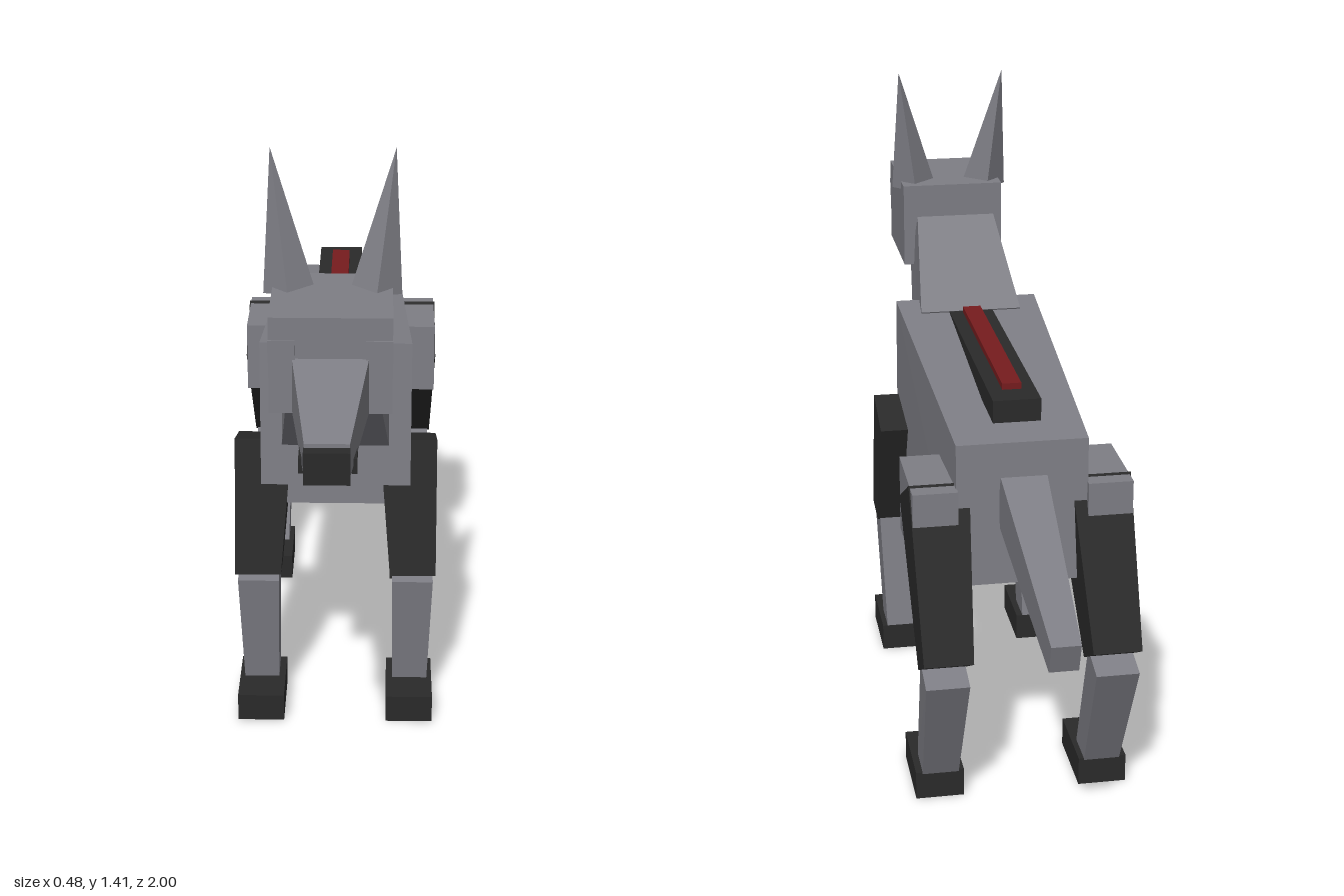
import * as THREE from 'three';

const grey = new THREE.MeshStandardMaterial({ name: 'steelGrey', color: 0x7e7e85 });
const dark = new THREE.MeshStandardMaterial({ name: 'charcoal', color: 0x2a2a2a });
const red = new THREE.MeshStandardMaterial({ name: 'darkRed', color: 0x761c1e });

// Box spanning the given x, y and z ranges
function block(name, mat, [x0, x1], [y0, y1], [z0, z1]) {
  const mesh = new THREE.Mesh(new THREE.BoxGeometry(x1 - x0, y1 - y0, z1 - z0), mat);
  mesh.position.set((x0 + x1) / 2, (y0 + y1) / 2, (z0 + z1) / 2);
  mesh.name = name;
  return mesh;
}

// Tapered box between two ends; an end has two [z, y] points and an x range
function taper(name, mat, endA, endB) {
  const geo = new THREE.BoxGeometry(1, 1, 1).toNonIndexed();
  const p = geo.attributes.position;
  for (let i = 0; i < p.count; i++) {
    const end = p.getY(i) > 0 ? endA : endB;
    const [z, y] = p.getZ(i) > 0 ? end.front : end.back;
    p.setXYZ(i, p.getX(i) > 0 ? end.x[1] : end.x[0], y, z);
  }
  geo.computeVertexNormals();
  const mesh = new THREE.Mesh(geo, mat);
  mesh.name = name;
  return mesh;
}

export function createModel() {
  const model = new THREE.Group();
  model.name = 'robotDog';

  // Trunk, neck and tail
  model.add(
    taper('body', grey,
      { front: [-0.53, 0.83], back: [-0.54, 0.51], x: [-0.142, 0.142] },
      { front: [0.235, 0.905], back: [0.25, 0.52], x: [-0.17, 0.17] }),
    taper('neck', grey,
      { front: [0.53, 0.91], back: [0.39, 1.07], x: [-0.095, 0.095] },
      { front: [0.285, 0.68], back: [0.15, 0.90], x: [-0.12, 0.12] }),
    taper('tail', grey,
      { front: [-0.51, 0.645], back: [-0.55, 0.76], x: [-0.05, 0.05] },
      { front: [-0.98, 0.53], back: [-1.0, 0.594], x: [-0.03, 0.03] }),
    block('spinePlate', dark, [-0.052, 0.052], [0.85, 0.9], [-0.465, 0.148]),
    block('spineStripe', red, [-0.021, 0.021], [0.895, 0.914], [-0.4, 0.138]),
  );

  // Head
  model.add(
    block('head', grey, [-0.123, 0.123], [0.935, 1.137], [0.435, 0.705]),
    taper('snout', grey,
      { front: [0.69, 1.055], back: [0.69, 0.936], x: [-0.078, 0.078] },
      { front: [0.975, 0.988], back: [0.975, 0.92], x: [-0.043, 0.043] }),
    block('nose', dark, [-0.044, 0.044], [0.915, 0.98], [0.965, 1.0]),
    block('jaw', dark, [-0.056, 0.056], [0.905, 0.936], [0.645, 0.925]),
  );

  // Mirrored parts
  for (const s of [1, -1]) {
    const side = s > 0 ? 'left' : 'right';
    const span = (a, b) => (s > 0 ? [a, b] : [-b, -a]);

    model.add(block(side + 'Eye', grey, span(0.07, 0.124), [1.045, 1.09], [0.7, 0.709]));

    // Ear: four-sided cone leaning out and back
    const base = new THREE.Vector3(s * 0.09, 1.125, 0.507);
    const tip = new THREE.Vector3(s * 0.128, 1.415, 0.465);
    const axis = tip.clone().sub(base);
    const earGeo = new THREE.ConeGeometry(0.053, axis.length(), 4).toNonIndexed();
    earGeo.computeVertexNormals();
    const ear = new THREE.Mesh(earGeo, grey);
    ear.name = side + 'Ear';
    ear.position.copy(base).add(tip).multiplyScalar(0.5);
    ear.quaternion.setFromUnitVectors(new THREE.Vector3(0, 1, 0), axis.normalize());
    model.add(ear);

    // Front leg
    const frontLeg = new THREE.Group();
    frontLeg.name = side + 'FrontLeg';
    frontLeg.add(
      taper('frontThigh', dark,
        { front: [0.225, 0.668], back: [0.087, 0.626], x: span(0.1, 0.23) },
        { front: [0.295, 0.358], back: [0.2, 0.345], x: span(0.125, 0.23) }),
      taper('frontShin', grey,
        { front: [0.295, 0.342], back: [0.2, 0.355], x: span(0.13, 0.224) },
        { front: [0.248, 0.05], back: [0.16, 0.06], x: span(0.134, 0.214) }),
      block('frontPaw', dark, span(0.119, 0.226), [0, 0.065], [0.16, 0.34]),
    );

    // Rear leg
    const rearLeg = new THREE.Group();
    rearLeg.name = side + 'RearLeg';
    rearLeg.add(
      block('haunch', grey, span(0.14, 0.237), [0.563, 0.733], [-0.55, -0.335]),
      taper('rearThigh', dark,
        { front: [-0.35, 0.647], back: [-0.51, 0.738], x: span(0.11, 0.24) },
        { front: [-0.588, 0.342], back: [-0.682, 0.396], x: span(0.128, 0.234) }),
      taper('rearShin', grey,
        { front: [-0.593, 0.364], back: [-0.68, 0.342], x: span(0.136, 0.23) },
        { front: [-0.465, 0.06], back: [-0.545, 0.05], x: span(0.142, 0.222) }),
      block('rearPaw', dark, span(0.13, 0.237), [0, 0.065], [-0.55, -0.37]),
    );
    model.add(frontLeg, rearLeg);
  }
  return model;
}
